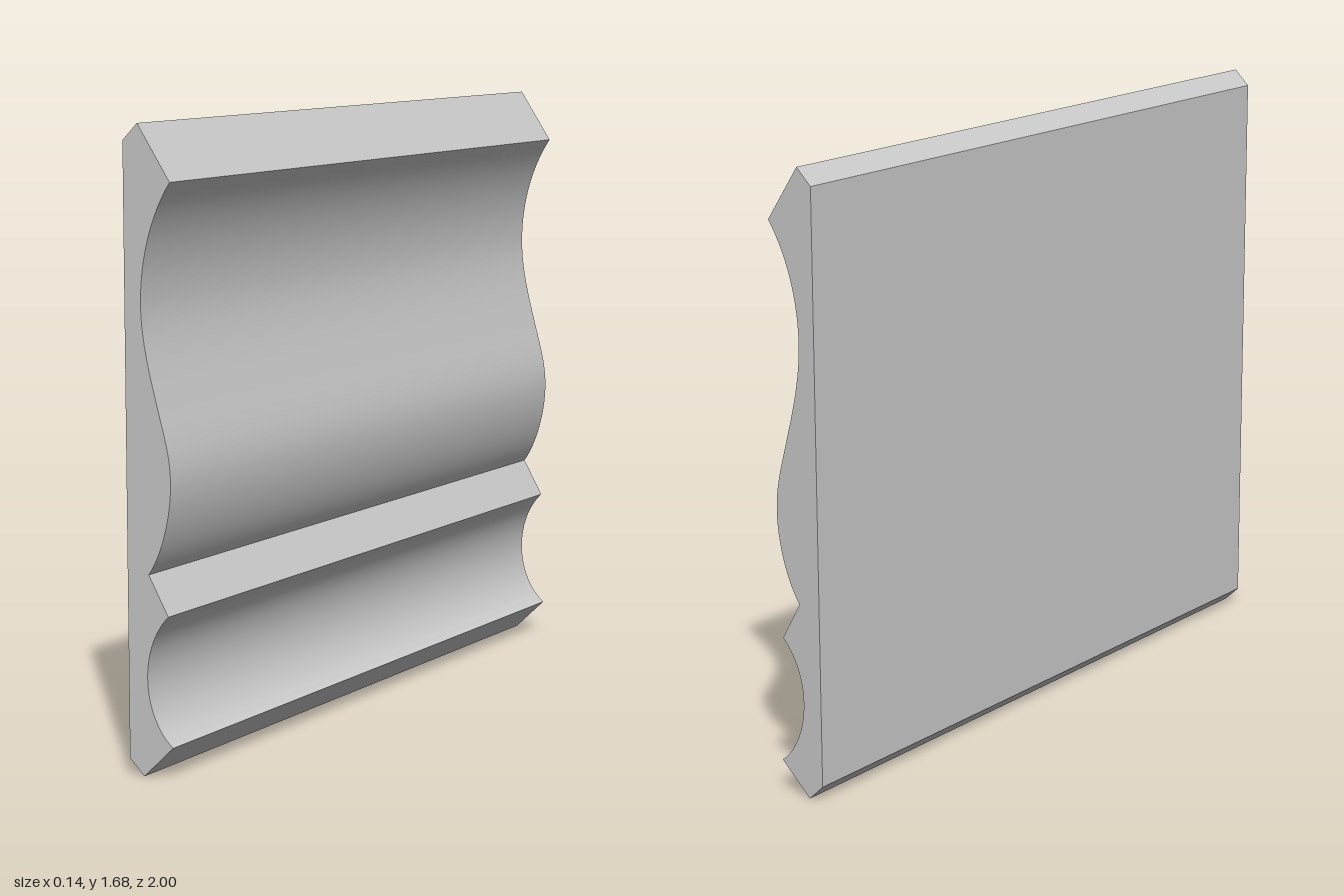
import * as THREE from 'three';
import { toCreasedNormals } from 'three/addons/utils/BufferGeometryUtils.js';

export function createModel() {
  const group = new THREE.Group();
  group.name = 'crownMoulding';

  // Moulding cross-section: flat back on -x, carved face on +x
  const s = new THREE.Shape();
  s.moveTo(-0.073, 0.043);
  s.lineTo(-0.028, 0);
  s.lineTo(0.064, 0.088);
  // lower cove
  s.bezierCurveTo(0.02, 0.12, -0.014, 0.185, -0.014, 0.262);
  s.bezierCurveTo(-0.014, 0.33, 0.012, 0.39, 0.053, 0.43);
  // bevelled step
  s.lineTo(-0.007, 0.533);
  // bulge, then upper cove
  s.bezierCurveTo(0.035, 0.59, 0.064, 0.69, 0.064, 0.775);
  s.bezierCurveTo(0.064, 0.85, 0.04, 0.91, 0.019, 0.99);
  s.bezierCurveTo(-0.004, 1.07, -0.023, 1.15, -0.023, 1.225);
  s.bezierCurveTo(-0.023, 1.34, 0.01, 1.45, 0.07, 1.536);
  // top edge
  s.lineTo(-0.028, 1.68);
  s.lineTo(-0.073, 1.636);
  s.closePath();

  const geometry = new THREE.ExtrudeGeometry(s, { depth: 2, bevelEnabled: false, curveSegments: 16 });
  geometry.translate(0, 0, -1);

  const moulding = new THREE.Mesh(
    toCreasedNormals(geometry, 0.4),
    new THREE.MeshStandardMaterial({ color: 0xcccccc })
  );
  moulding.name = 'mouldingStrip';
  group.add(moulding);
  return group;
}
